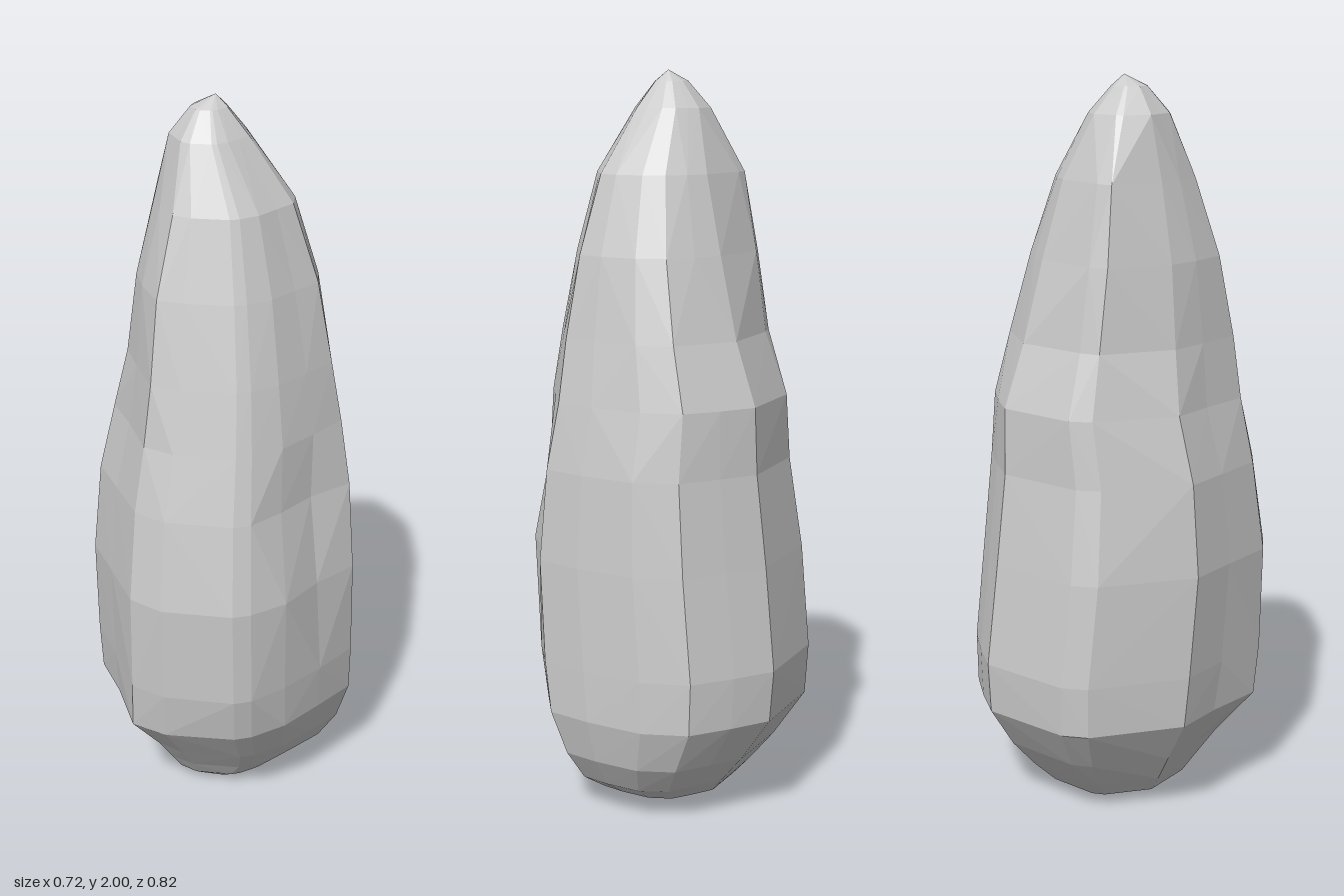
import * as THREE from 'three';

// Plan outline of the stone, normalised below to -1..1 (x, z)
const OUTLINE = [
  [0.05, -0.41], [0.165, -0.36], [0.28, -0.30], [0.345, -0.18], [0.36, 0.0], [0.355, 0.14],
  [0.255, 0.24], [0.15, 0.34], [0.05, 0.395], [0, 0.405], [-0.19, 0.36],
  [-0.27, 0.29], [-0.32, 0.12], [-0.365, -0.03], [-0.27, -0.30], [-0.215, -0.35],
];

// Cross-sections: height, then extents min x, max x, min z, max z
const RINGS = [
  [0.00, -0.11, 0.09, -0.12, 0.14],
  [0.03, -0.18, 0.20, -0.20, 0.18],
  [0.08, -0.222, 0.28, -0.25, 0.217],
  [0.16, -0.275, 0.33, -0.32, 0.28],
  [0.28, -0.35, 0.36, -0.40, 0.365],
  [0.42, -0.358, 0.36, -0.41, 0.398],
  [0.70, -0.363, 0.355, -0.378, 0.41],
  [0.95, -0.34, 0.34, -0.347, 0.372],
  [1.13, -0.297, 0.315, -0.342, 0.335],
  [1.30, -0.258, 0.285, -0.28, 0.30],
  [1.52, -0.23, 0.25, -0.222, 0.25],
  [1.73, -0.18, 0.185, -0.165, 0.195],
  [1.90, -0.14, 0.065, -0.10, 0.11],
  [1.97, -0.085, 0.01, -0.04, 0.05],
];

// Chips (below 1) and blunt corners (above 1): ring height, outline point, scale
const NUDGES = [
  // front left-hand dent and the flatter face above it
  [0.95, 6, 0.92], [0.95, 7, 0.94], [0.70, 6, 0.96], [0.42, 7, 0.98],
  [1.52, 5, 0.98], [1.52, 6, 0.97], [1.73, 5, 0.96], [1.73, 6, 0.97],
  // back left-hand corner
  [1.30, 2, 1.02], [1.52, 2, 0.99], [1.52, 3, 0.98], [1.73, 2, 0.96], [1.73, 3, 0.97],
  [1.13, 2, 0.99], [1.13, 3, 0.97],
  // front right-hand corner
  [0.28, 10, 1.02], [0.28, 11, 1.05], [0.42, 11, 1.02],
  [1.13, 11, 1.03], [1.30, 11, 1.08], [1.52, 11, 1.09], [1.73, 11, 1.04],
  [1.30, 12, 1.05], [1.52, 12, 1.08], [1.73, 12, 1.06],
  // back right-hand corner, chipped above a ledge
  [0.95, 14, 0.97], [0.95, 15, 0.98], [1.13, 14, 0.99], [1.30, 14, 1.05],
  [1.52, 14, 1.12], [1.52, 15, 1.09], [1.73, 14, 1.25], [1.73, 15, 1.15],
];

function stoneGeometry() {
  const n = OUTLINE.length;
  const points = [];
  for (const [y, x0, x1, z0, z1] of RINGS) {
    const cx = (x0 + x1) / 2, cz = (z0 + z1) / 2;
    OUTLINE.forEach(([px, pz], i) => {
      const nudge = NUDGES.find((c) => c[0] === y && c[1] === i);
      const s = nudge ? nudge[2] : 1;
      const u = (px + 0.0025) / 0.3625, v = (pz + 0.0025) / 0.4075;
      points.push(new THREE.Vector3(cx + (s * u * (x1 - x0)) / 2, y, cz + (s * v * (z1 - z0)) / 2));
    });
  }
  const base = points.length;
  points.push(new THREE.Vector3(0, 0, 0), new THREE.Vector3(-0.02, 2, 0));

  const index = [];
  const plane = new THREE.Plane();
  for (let i = 0; i < n; i++) {
    const j = (i + 1) % n;
    for (let k = 0; k < RINGS.length - 1; k++) {
      const a = k * n + i, b = k * n + j, c = b + n, d = a + n;
      // Split each quad along the diagonal that bulges outwards
      plane.setFromCoplanarPoints(points[b], points[a], points[c]);
      if (plane.distanceToPoint(points[d]) > 0) index.push(b, a, d, b, d, c);
      else index.push(b, a, c, a, d, c);
    }
    // Underside and peak
    const top = (RINGS.length - 1) * n;
    index.push(base, i, j, base + 1, top + j, top + i);
  }
  const geometry = new THREE.BufferGeometry().setFromPoints(points);
  geometry.setIndex(index);
  const faceted = geometry.toNonIndexed();
  faceted.computeVertexNormals();
  return faceted;
}

export function createModel() {
  const group = new THREE.Group();
  group.name = 'standingStone';
  const stone = new THREE.Mesh(
    stoneGeometry(),
    new THREE.MeshStandardMaterial({ color: 0xcccccc, flatShading: true }),
  );
  stone.name = 'stone';
  group.add(stone);
  return group;
}
